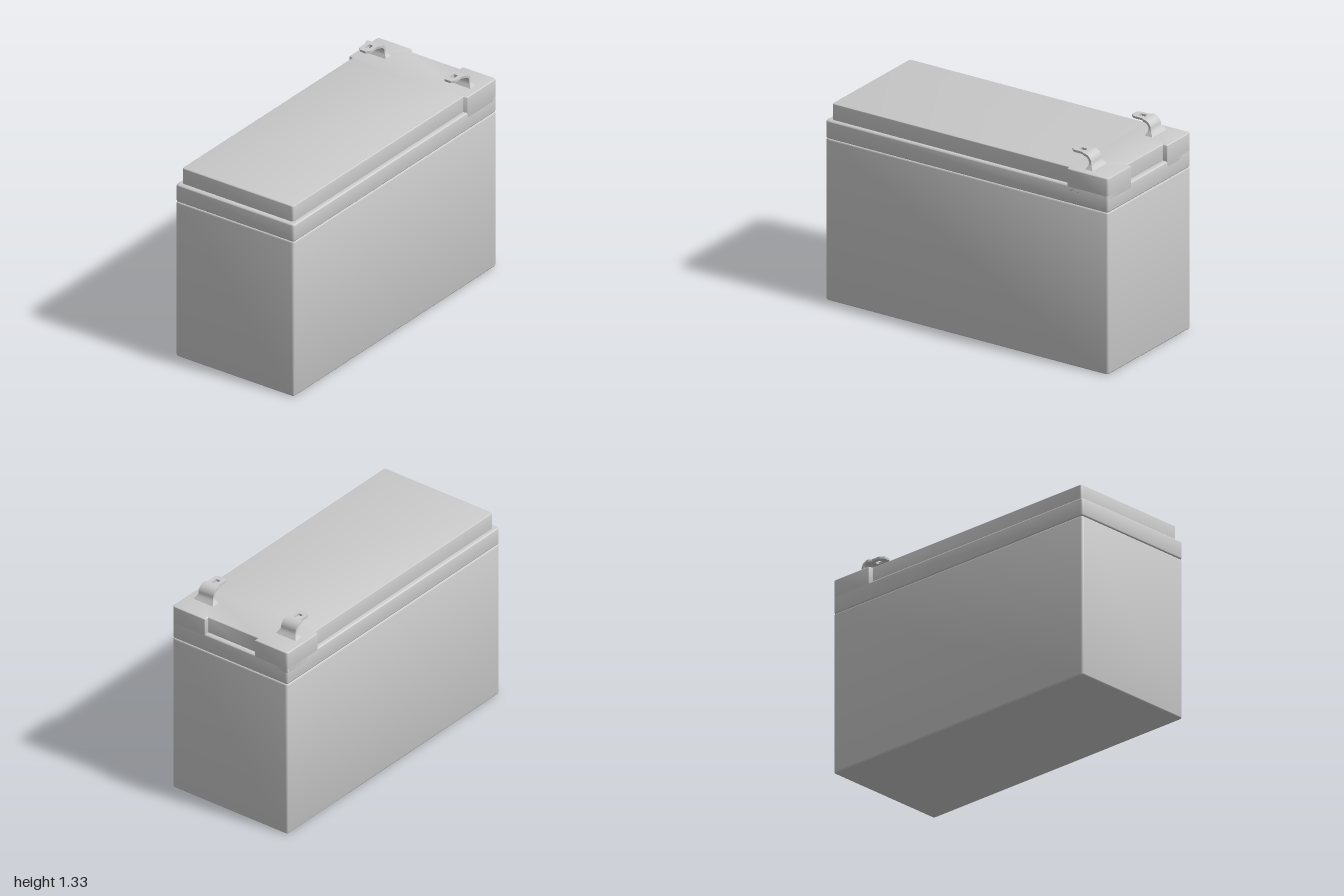
import * as THREE from 'three';
import { toCreasedNormals } from 'three/addons/utils/BufferGeometryUtils.js';

const material = new THREE.MeshStandardMaterial({ color: 0xcccccc });

function part(name, geometry) {
  const mesh = new THREE.Mesh(toCreasedNormals(geometry, 0.6), material);
  mesh.name = name;
  return mesh;
}

// Plan outline from [x, z, cornerRadius] points, each corner rounded off
function outline(points) {
  const shape = new THREE.Shape();
  const v = points.map(([x, z]) => new THREE.Vector2(x, -z));
  const n = v.length;
  v.forEach((p, i) => {
    const r = points[i][2];
    const a = v[(i + n - 1) % n].clone().sub(p).setLength(r).add(p);
    const b = v[(i + 1) % n].clone().sub(p).setLength(r).add(p);
    if (i === 0) shape.moveTo(a.x, a.y);
    else shape.lineTo(a.x, a.y);
    shape.quadraticCurveTo(p.x, p.y, b.x, b.y);
  });
  shape.closePath();
  return shape;
}

// Upright slab with rounded top and bottom edges
function slab(shape, y0, y1, bevel) {
  const g = new THREE.ExtrudeGeometry(shape, {
    depth: y1 - y0 - 2 * bevel, curveSegments: 4, bevelEnabled: bevel > 0,
    bevelThickness: bevel, bevelSize: bevel, bevelOffset: -bevel, bevelSegments: 3,
  });
  return g.rotateX(-Math.PI / 2).translate(0, y0 + bevel, 0);
}

// Bent strip that drops from the tab and flares into its foot
function stemGeometry() {
  const sections = []; // [x, y, normalX, normalY, halfThickness, halfWidth]
  sections.push([0.765, 1.325, 0, 1, 0.007, 0.04]);
  for (let i = 0; i <= 8; i++) {
    const a = (i / 8) * Math.PI / 2;
    sections.push([0.785 + 0.045 * Math.sin(a), 1.28 + 0.045 * Math.cos(a),
      Math.sin(a), Math.cos(a), 0.0075, 0.054]);
  }
  sections.push([0.831, 1.27, 1, 0, 0.01, 0.057], [0.833, 1.26, 1, 0, 0.015, 0.062],
    [0.834, 1.25, 1, 0, 0.022, 0.069], [0.835, 1.236, 1, 0, 0.032, 0.078]);

  const pos = [];
  const index = [0, 1, 2, 0, 2, 3];
  sections.forEach(([x, y, nx, ny, t, w], s) => {
    for (const [k, side] of [[1, 1], [1, -1], [-1, -1], [-1, 1]]) {
      pos.push(x + nx * t * k, y + ny * t * k, w * side);
    }
    if (s === 0) return;
    for (let j = 0; j < 4; j++) {
      const a = (s - 1) * 4 + j, b = (s - 1) * 4 + (j + 1) % 4;
      index.push(a, a + 4, b, b, a + 4, b + 4);
    }
  });
  const g = new THREE.BufferGeometry();
  g.setAttribute('position', new THREE.Float32BufferAttribute(pos, 3));
  g.setIndex(index);
  return g;
}

function terminal(name, z) {
  const group = new THREE.Group();
  group.name = name;
  // Flat tab with clipped tip and a slot
  const tab = new THREE.Shape([
    [0.79, 0.04], [0.705, 0.04], [0.682, 0.02], [0.682, -0.02], [0.705, -0.04], [0.79, -0.04],
  ].map(([x, y]) => new THREE.Vector2(x, y)));
  tab.holes.push(outline([
    [0.72, -0.016, 0.01], [0.765, -0.016, 0.01], [0.765, 0.016, 0.01], [0.72, 0.016, 0.01],
  ]));
  group.add(part('terminalTab', slab(tab, 1.318, 1.332, 0)));
  group.add(part('terminalStem', stemGeometry()));
  group.position.z = z;
  return group;
}

export function createModel() {
  const model = new THREE.Group();
  model.name = 'battery';
  const Z = 0.428, R = 0.02;
  const rect = outline([[-1, Z, R], [1, Z, R], [1, -Z, R], [-1, -Z, R]]);

  model.add(part('case', slab(rect, 0, 1.025, 0.01)));
  model.add(part('lidBase', slab(rect, 1.025, 1.14, 0.01)));

  // Raised lid: inset along the ledge, full width at the terminal end, notched at that end
  const half = [[-0.97, 0.402, 0.015], [0.705, 0.402, 0.004], [0.715, Z, 0.004],
    [1, Z, R], [1, 0.185, 0.004], [0.97, 0.185, 0.004]];
  const mirrored = half.map(([x, z, r]) => [x, -z, r]).reverse();
  model.add(part('lidTop', slab(outline([...half, ...mirrored]), 1.1, 1.243, 0.006)));

  model.add(terminal('leftFrontTerminal', 0.307));
  model.add(terminal('leftBackTerminal', -0.307));
  return model;
}
